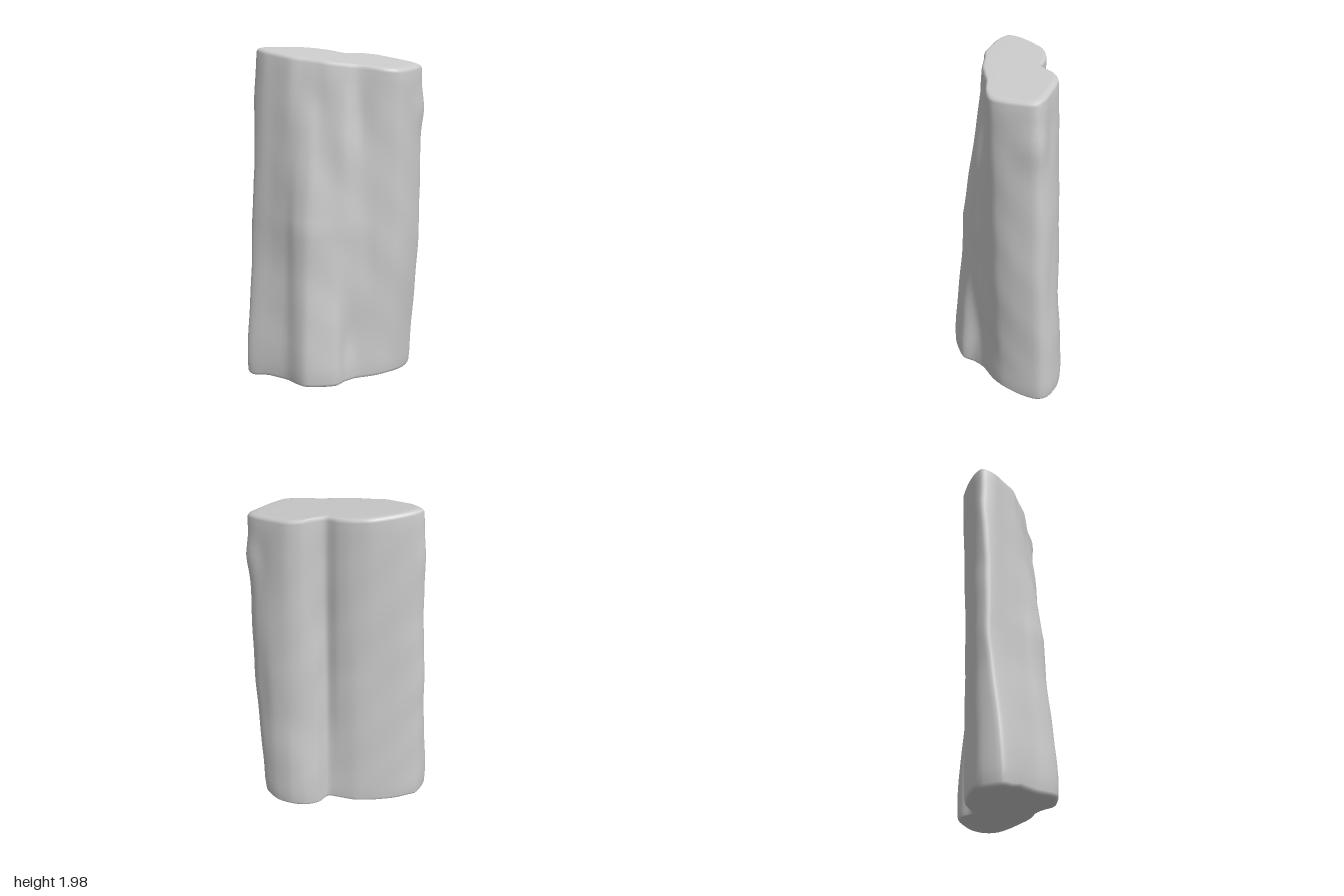
import * as THREE from 'three';

// Outlines [x, z] at the foot, middle and top; matching entries form vertical rails.
const FOOT = [[-.53, -.055], [-.505, -.005], [-.41, .065], [-.31, .145], [-.25, .225], [-.19, .268], [-.03, .275], [.04, .22],
  [.12, .18], [.24, .16], [.33, .125], [.41, .055], [.49, -.045], [.485, -.12], [.42, -.2], [.33, -.255],
  [.24, -.268], [.16, -.245], [.1, -.19], [.02, -.205], [-.08, -.23], [-.2, -.23], [-.35, -.21], [-.47, -.16]];
const MIDDLE = [[-.47, -.13], [-.435, -.075], [-.36, 0], [-.29, .08], [-.245, .15], [-.175, .2], [-.04, .21], [.04, .208],
  [.13, .195], [.24, .185], [.35, .168], [.44, .1], [.52, -.01], [.5, -.1], [.43, -.17], [.32, -.22],
  [.24, -.23], [.16, -.212], [.095, -.165], [.03, -.205], [-.06, -.235], [-.16, -.24], [-.31, -.225], [-.415, -.19]];
const TOP = [[-.42, -.165], [-.385, -.09], [-.33, -.04], [-.25, .03], [-.18, .055], [-.11, .085], [-.05, .11], [.05, .13],
  [.13, .145], [.25, .187], [.34, .19], [.42, .125], [.51, .01], [.475, -.06], [.4, -.125], [.3, -.2],
  [.22, -.215], [.155, -.195], [.09, -.185], [.03, -.23], [-.04, -.262], [-.14, -.278], [-.27, -.25], [-.37, -.21]];

// Hollows and swellings: x, y, z of the centre, width, height, push outward
const DENTS = [
  [-.1, 1.6, .11, .06, .28, -.016], [.04, 1.5, .16, .06, .3, .016], [.14, 1.7, .15, .04, .15, -.012],
  [.07, .3, .21, .06, .16, -.02], [.18, .85, .19, .04, .25, -.01], [-.1, .95, .2, .08, .2, .006],
  [.52, 1.7, -.01, .1, .1, .016], [.46, 1.72, -.12, .07, .16, -.014], [.48, .85, -.13, .07, .28, -.015],
  [-.45, 1.3, -.12, .1, .09, -.01], [-.46, 1.68, -.14, .1, .12, .01], [-.5, .85, -.08, .1, .12, .012],
  [.25, .6, -.25, .12, .16, -.012], [.14, 1.35, -.2, .06, .2, -.01],
];

const AROUND = 96, ROWS = 36;
const curves = [FOOT, MIDDLE, TOP].map(points => new THREE.CatmullRomCurve3(
  points.map(([x, z]) => new THREE.Vector3(x, 0, z)), true, 'catmullrom', 0.4));

// Nearly level foot with one dipping corner, and a sloping top
const footY = (x, z) => 0.035 + 0.03 * z - 0.025 * THREE.MathUtils.smoothstep(x, 0.3, 0.46)
  - 0.02 * THREE.MathUtils.smoothstep(-x, 0.4, 0.5);
const topY = (x, z) => 1.945 - 0.08 * x - 0.1 * z;

// Point on the body: u around, v up, inset shrinks the outline for the rims and caps
function bodyPoint(u, v, inset) {
  const [foot, middle, top] = curves.map(curve => curve.getPoint(u));
  // The flare of the foot dies out gently; above it the sides run straight
  const p = foot.lerp(middle, THREE.MathUtils.smoothstep(v, 0, 0.5));
  p.lerp(top, Math.max(0, 2 * v - 1));

  // Weathering, pushed along the outline's rough normal and fading at both ends
  const y = 0.03 + 1.92 * v;
  let push = 0.003 * Math.sin(15 * p.x + 7 * y) * Math.sin(9 * y - 12 * p.z);
  for (const [dx, dy, dz, width, height, amount] of DENTS) {
    const d = ((p.x - dx) ** 2 + (p.z - dz) ** 2) / width ** 2 + ((y - dy) / height) ** 2;
    push += amount * Math.exp(-d);
  }
  push *= Math.min(1, 10 * v * (1 - v));
  const normal = new THREE.Vector3(p.x / 0.25, 0, p.z / 0.05).normalize();
  p.addScaledVector(normal, push);

  p.x *= 1 - inset;
  p.z = -0.02 + (p.z + 0.02) * (1 - inset);
  p.y = THREE.MathUtils.lerp(footY(p.x, p.z), topY(p.x, p.z), v);
  return p;
}

function createSlab() {
  // Rows run from the underside, over the soft rim, up the wall and onto the top
  const rows = [[0, 0.5], [0, 0.2], [0, 0.1], [0, 0.06], [0.003, 0.03], [0.012, 0.008]];
  for (let i = 1; i < ROWS; i++) rows.push([0.02 + 0.96 * i / ROWS, 0]);
  rows.push([0.988, 0.004], [0.995, 0.02], [0.999, 0.06], [1, 0.12], [1, 0.5]);

  const positions = [], index = [];
  for (const [v, inset] of rows) {
    for (let i = 0; i < AROUND; i++) positions.push(...bodyPoint(i / AROUND, v, inset).toArray());
  }
  const foot = rows.length * AROUND, top = foot + 1, last = (rows.length - 1) * AROUND;
  positions.push(0, footY(0, -0.02), -0.02, 0, topY(0, -0.02), -0.02);

  for (let i = 0; i < AROUND; i++) {
    const j = (i + 1) % AROUND;
    for (let r = 0; r < rows.length - 1; r++) {
      const a = r * AROUND + i, b = r * AROUND + j;
      index.push(a, b, b + AROUND, a, b + AROUND, a + AROUND);
    }
    index.push(foot, j, i, top, last + i, last + j);
  }
  const geometry = new THREE.BufferGeometry();
  geometry.setAttribute('position', new THREE.Float32BufferAttribute(positions, 3));
  geometry.setIndex(index);
  geometry.computeVertexNormals();
  return geometry;
}

export function createModel() {
  const group = new THREE.Group();
  group.name = 'standingStone';
  const slab = new THREE.Mesh(createSlab(), new THREE.MeshStandardMaterial({ color: 0xcccccc }));
  slab.name = 'stoneSlab';
  group.add(slab);
  return group;
}
